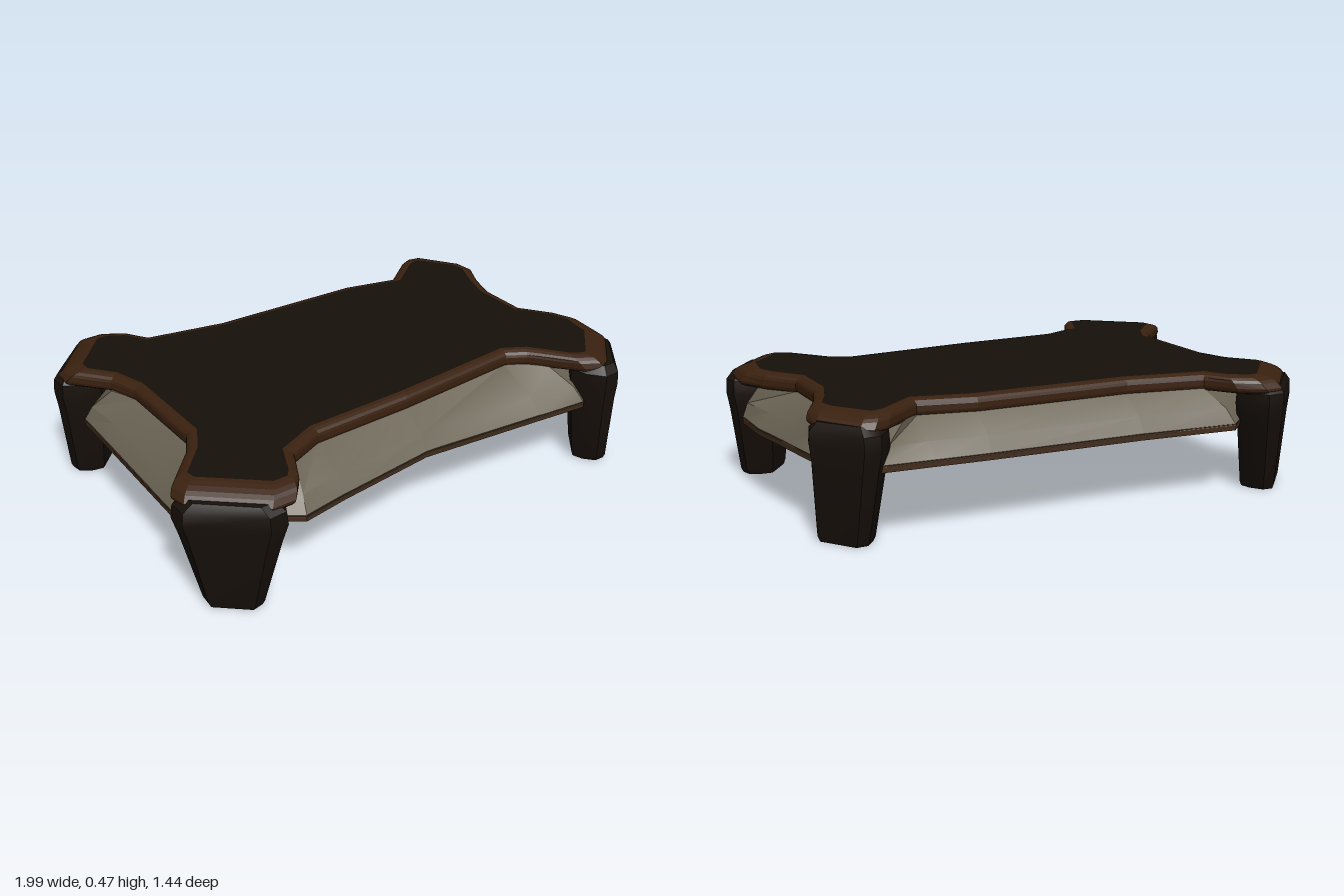
import * as THREE from 'three';
import { toCreasedNormals } from 'three/addons/utils/BufferGeometryUtils.js';

const mat = (color) => new THREE.MeshStandardMaterial({ color });
const mix = THREE.MathUtils.lerp;

// Closed solid through rings of [x, y, z] points, counterclockwise from above, lowest ring first.
function loft(rings, crease) {
  const n = rings[0].length;
  const pos = rings.flat(2);
  const index = [];
  for (let r = 0; r < rings.length - 1; r++) {
    for (let i = 0; i < n; i++) {
      const j = (i + 1) % n;
      const a = r * n + i, b = r * n + j;
      index.push(a, b, b + n, a, b + n, a + n);
    }
  }
  const last = rings.length - 1;
  for (const r of [0, last]) {
    const c = pos.length / 3;
    for (let k = 0; k < 3; k++) pos.push(rings[r].reduce((s, p) => s + p[k], 0) / n);
    for (let i = 0; i < n; i++) {
      const a = r * n + i, b = r * n + (i + 1) % n;
      if (r === 0) index.push(c, b, a);
      else index.push(c, a, b);
    }
  }
  const g = new THREE.BufferGeometry();
  g.setAttribute('position', new THREE.Float32BufferAttribute(pos, 3));
  g.setIndex(index);
  return toCreasedNormals(g, crease);
}

// Tabletop outline as x, z
const outline = [
  [-0.99, 0.44], [-0.98, 0.51], [-0.76, 0.70], [-0.67, 0.70], [-0.62, 0.64], [-0.54, 0.50], [-0.40, 0.44],
  [0, 0.43], [0.51, 0.39], [0.58, 0.43], [0.73, 0.61], [0.80, 0.65], [0.84, 0.63], [0.97, 0.49],
  [0.98, 0.34], [0.92, 0.23], [0.83, 0.11], [0.83, -0.08], [0.87, -0.20], [0.94, -0.32], [0.94, -0.41],
  [0.84, -0.56], [0.79, -0.57], [0.73, -0.54], [0.57, -0.41], [0.36, -0.46], [-0.24, -0.48], [-0.54, -0.54],
  [-0.62, -0.65], [-0.71, -0.71], [-0.78, -0.71], [-0.94, -0.53], [-0.94, -0.46], [-0.82, -0.32],
  [-0.78, -0.20], [-0.78, 0.18], [-0.83, 0.27],
];

// Apron: x, z at the bottom, then x, z under the tabletop rim
const apron = [
  [-0.58, 0.63, -0.53, 0.48], [-0.40, 0.60, -0.40, 0.43], [0, 0.55, 0, 0.42], [0.51, 0.60, 0.51, 0.38],
  [0.72, 0.62, 0.64, 0.49], [0.98, 0.31, 0.92, 0.27], [0.98, 0.12, 0.82, 0.11], [0.95, -0.08, 0.82, -0.08],
  [0.92, -0.30, 0.86, -0.20], [0.76, -0.54, 0.64, -0.46], [0.57, -0.555, 0.56, -0.40], [0.36, -0.57, 0.36, -0.45],
  [-0.24, -0.60, -0.24, -0.47], [-0.62, -0.64, -0.54, -0.53],
  [-0.91, -0.38, -0.82, -0.31], [-0.917, -0.20, -0.77, -0.20], [-0.933, 0.18, -0.77, 0.18], [-0.94, 0.38, -0.82, 0.27],
];

// Legs: outer face midpoint, outward direction, half width at the top, foot centre
const legs = [
  ['frontRightLeg', [-0.885, 0.62], [-0.66, 0.75], 0.195, [-0.825, 0.55]],
  ['frontLeftLeg', [0.915, 0.575], [0.78, 0.62], 0.165, [0.835, 0.55]],
  ['backLeftLeg', [0.895, -0.495], [0.8, -0.6], 0.145, [0.835, -0.41]],
  ['backRightLeg', [-0.865, -0.625], [-0.72, -0.69], 0.175, [-0.825, -0.53]],
];

// Chamfered section, narrower on the inside: across, outward
const section = [[-0.75, 1], [0.75, 1], [1, 0.45], [0.9, -0.4], [0.65, -1], [-0.65, -1], [-0.9, -0.4], [-1, 0.45]];

// Leg levels: height, share of the top size, extra scale
const levels = [[0, 0, 0.92], [0.02, 0.02, 1], [0.28, 0.82, 0.97], [0.35, 1, 1], [0.4, 0.98, 0.98], [0.43, 0.9, 0.8]];

function legGeometry(mid, dir, half, foot) {
  const len = Math.hypot(...dir);
  const n = dir.map((v) => v / len);
  const t = [n[1], -n[0]];
  const rings = levels.map(([y, k, s]) => {
    const w = mix(0.105, half, k) * s;
    const d = mix(0.065, 0.09, k) * s;
    const c = [0, 1].map((i) => mix(foot[i], mid[i] - n[i] * 0.09, k));
    return section.map(([a, b]) => [c[0] + t[0] * a * w + n[0] * b * d, y, c[1] + t[1] * a * w + n[1] * b * d]);
  });
  return loft(rings, 0.6);
}

// Bevelled slab whose corner tips curve inward towards the top
function tabletopGeometry() {
  const shape = new THREE.Shape(outline.map(([x, z]) => new THREE.Vector2(x, z)));
  const g = new THREE.ExtrudeGeometry(shape, {
    depth: 0.02, bevelThickness: 0.025, bevelSize: 0.04, bevelOffset: -0.04, bevelSegments: 4,
  });
  g.rotateX(Math.PI / 2).translate(0, 0.44, 0);
  const p = g.attributes.position;
  for (let i = 0; i < p.count; i++) {
    const x = p.getX(i), z = p.getZ(i);
    const tip = THREE.MathUtils.smoothstep(Math.abs(x) + Math.abs(z), 1.05, 1.38);
    const shift = 0.045 * tip * ((p.getY(i) - 0.39) / 0.075) ** 2;
    p.setX(i, x - Math.sign(x) * shift);
    p.setZ(i, z - Math.sign(z) * shift);
  }
  g.computeVertexNormals();
  return g;
}

export function createModel() {
  const group = new THREE.Group();
  const dark = mat(0x17100a);
  const add = (name, geometry, material) => {
    const mesh = new THREE.Mesh(geometry, material);
    mesh.name = name;
    group.add(mesh);
  };

  // Tabletop with a rounded, worn rim
  add('tabletop', tabletopGeometry(), [dark, mat(0x3a210f)]);

  // Bulging, sloping apron and flat underside: height, share of the way in to the rim
  const apronRing = ([y, k]) => apron.map(([x, z, u, v]) => [mix(x, u, k), y, mix(z, v, k)]);
  add('apron', loft([[0.28, 0], [0.34, 0.3], [0.41, 1]].map(apronRing), 0.5), mat(0x6b6455));
  add('underside', loft([[0.26, 0.02], [0.285, 0]].map(apronRing), 0.3), mat(0x45301f));

  // Tapered corner legs
  for (const [name, ...spec] of legs) add(name, legGeometry(...spec), dark);

  return group;
}
